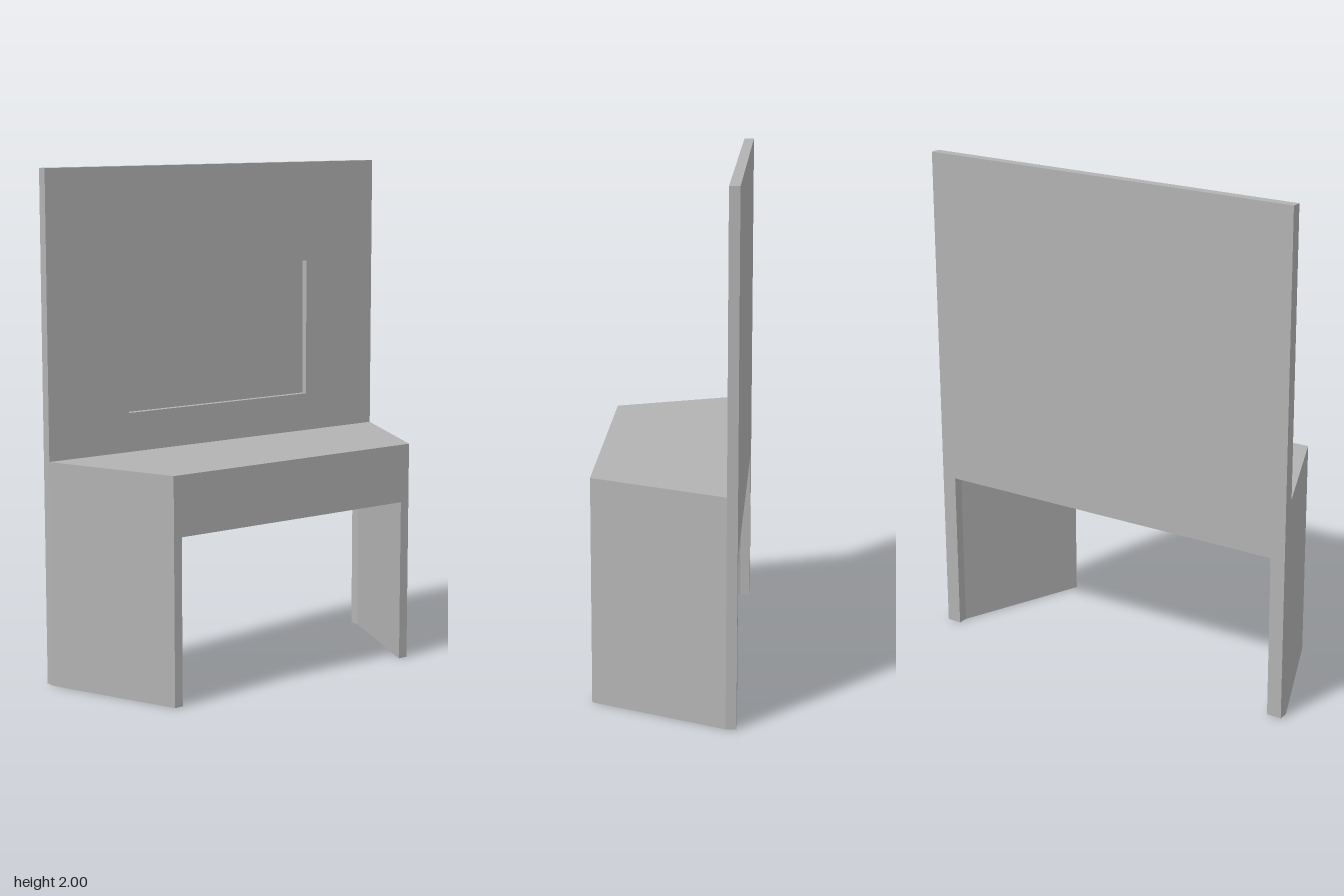
import * as THREE from 'three';

const BACK = -0.28, PANEL_FRONT = -0.24, HALF = 0.8;
const LEG_TOP = 0.65, BENCH_TOP = 0.885, TOP = 2;

export function createModel() {
  const group = new THREE.Group();
  const grey = new THREE.MeshStandardMaterial({ color: 0xb2b2b2 });
  grey.name = 'grey';

  function add(name, geometry) {
    const mesh = new THREE.Mesh(geometry, grey);
    mesh.name = name;
    group.add(mesh);
    return mesh;
  }

  // Raises a plan outline of [x, z] points from y0 to y1
  function prism(name, plan, y0, y1) {
    const shape = new THREE.Shape(plan.map(([x, z]) => new THREE.Vector2(x, -z)));
    const geometry = new THREE.ExtrudeGeometry(shape, { depth: y1 - y0, bevelEnabled: false });
    geometry.rotateX(-Math.PI / 2);
    geometry.translate(0, y0, 0);
    return add(name, geometry);
  }

  // Splayed side walls, running back into the upright panel
  const leg = (name, s, outer, inner, front) => prism(name, [
    [s * HALF, BACK], [s * HALF, PANEL_FRONT], [s * outer, front],
    [s * inner, front], [s * 0.74, PANEL_FRONT], [s * 0.74, BACK],
  ], 0, LEG_TOP);
  leg('leftLeg', 1, 0.57, 0.53, 0.277);
  leg('rightLeg', -1, 0.585, 0.55, 0.283);

  // Solid tapered desk block
  prism('deskTop', [
    [-HALF, BACK], [HALF, BACK], [HALF, PANEL_FRONT],
    [0.57, 0.277], [-0.585, 0.283], [-HALF, PANEL_FRONT],
  ], LEG_TOP, BENCH_TOP);

  // Upright panel: a thin backing and a front layer with a rectangular recess
  const recess = 0.025, thickness = PANEL_FRONT - BACK;
  const height = TOP - BENCH_TOP;
  const backing = new THREE.BoxGeometry(2 * HALF, height, thickness - recess);
  backing.translate(0, BENCH_TOP + height / 2, BACK + (thickness - recess) / 2);
  add('panelBacking', backing);

  const rect = (Type, x0, y0, x1, y1) => new Type([
    new THREE.Vector2(x0, y0), new THREE.Vector2(x1, y0),
    new THREE.Vector2(x1, y1), new THREE.Vector2(x0, y1),
  ]);
  const face = rect(THREE.Shape, -HALF, BENCH_TOP, HALF, TOP);
  face.holes.push(rect(THREE.Path, -0.435, 1.04, 0.45, 1.595));
  const front = new THREE.ExtrudeGeometry(face, { depth: recess, bevelEnabled: false });
  front.translate(0, 0, PANEL_FRONT - recess);
  add('panelFront', front);

  return group;
}
